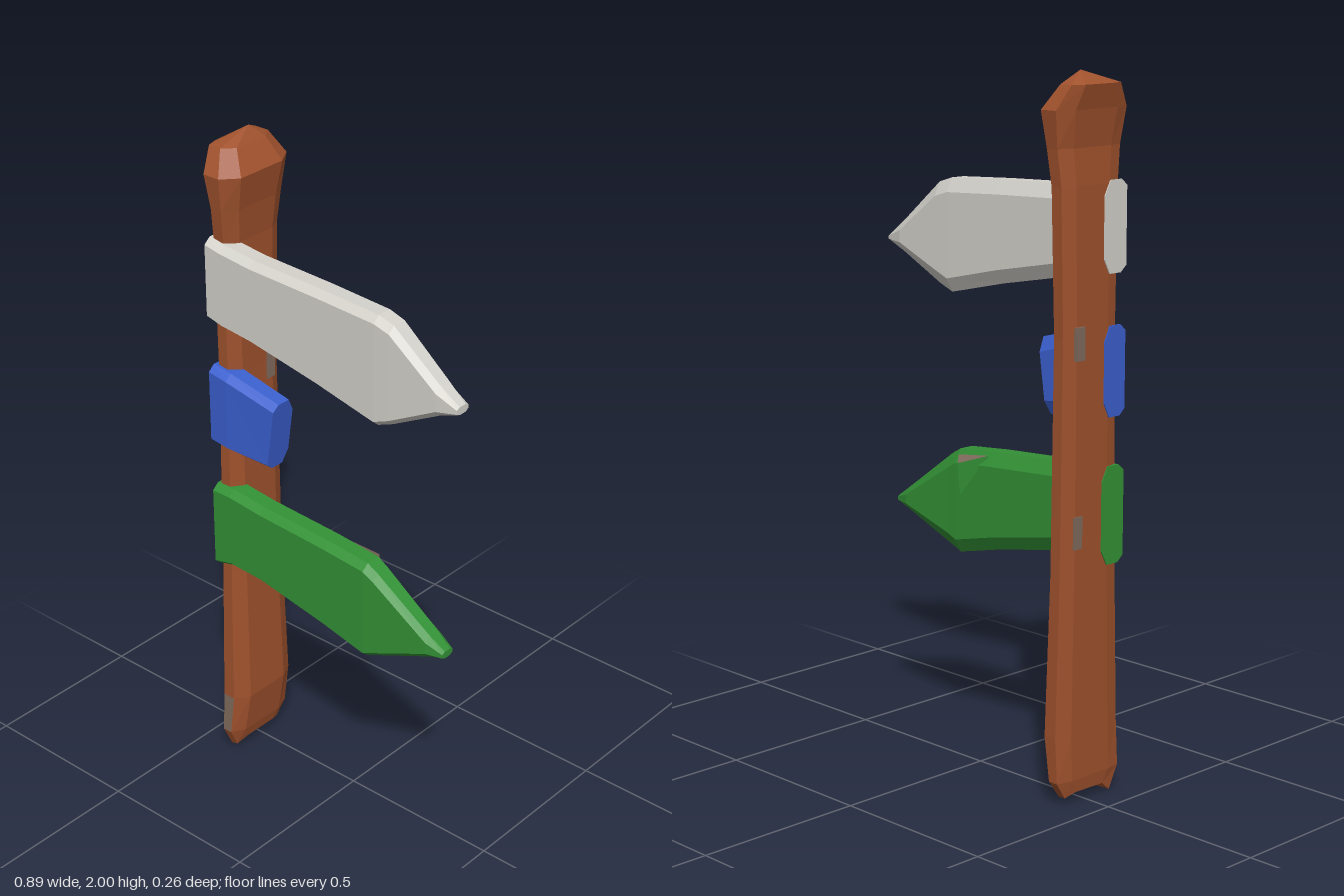
import * as THREE from 'three';

const material = (name, color) => {
  const m = new THREE.MeshStandardMaterial({ color, flatShading: true });
  m.name = name;
  return m;
};

// Skin a list of rings (each a loop of [x, y, z]) with facets and fan caps.
// pick(kind, ring, side) returns the material index of a facet.
function loft(name, rings, materials, pick = () => 0, ends = []) {
  const buckets = materials.map(() => []);
  const n = rings[0].length;
  const last = rings.length - 1;
  const tri = (slot, ...pts) => pts.forEach((p) => buckets[slot].push(...p));
  for (let i = 0; i < last; i++) {
    for (let j = 0; j < n; j++) {
      const k = (j + 1) % n;
      const [a, b, c, d] = [rings[i][j], rings[i][k], rings[i + 1][k], rings[i + 1][j]];
      const slot = pick('side', i, j);
      tri(slot, a, b, c);
      tri(slot, a, c, d);
    }
  }
  const middle = (ring) => [0, 1, 2].map((q) => ring.reduce((s, p) => s + p[q], 0) / n);
  const start = ends[0] || middle(rings[0]);
  const end = ends[1] || middle(rings[last]);
  for (let j = 0; j < n; j++) {
    const k = (j + 1) % n;
    tri(pick('start', 0, j), start, rings[0][k], rings[0][j]);
    tri(pick('end', last, j), end, rings[last][j], rings[last][k]);
  }
  const geometry = new THREE.BufferGeometry();
  let offset = 0;
  buckets.forEach((b, slot) => {
    geometry.addGroup(offset, b.length / 3, slot);
    offset += b.length / 3;
  });
  geometry.setAttribute('position', new THREE.Float32BufferAttribute(buckets.flat(), 3));
  geometry.computeVertexNormals();
  const mesh = new THREE.Mesh(geometry, materials);
  mesh.name = name;
  return mesh;
}

// Plank running along x; stations are [x, bottom, top, back z, front z, lean of the top]
function plank(name, stations, mat) {
  const rings = stations.map(([x, y0, y1, zb, zf, lean = 0]) => {
    const h = y1 - y0;
    const d = zf - zb;
    const f = Math.min(0.018, h * 0.25);
    const b = Math.min(0.04, h * 0.3);
    return [
      [zf, y1 - f], [zf, y0 + f], [zf - d * 0.25, y0], [zb + d * 0.25, y0],
      [zb, y0 + b], [zb, y1 - b], [zb + d * 0.25, y1], [zf - d * 0.25, y1],
    ].map(([z, y]) => [x + lean * (y - y0) / h, y, z]);
  });
  return loft(name, rings, [mat]);
}

export function createModel() {
  const group = new THREE.Group();
  group.name = 'signpost';
  const brown = material('brown wood', 0xa0522d);
  const white = material('white paint', 0xd3d1ca);
  const blue = material('blue paint', 0x3a5fcd);
  const green = material('green paint', 0x339136);
  const grey = material('weathered grey', 0x7f6a5c);

  // Post: [y, left x, right x, back z, front z]
  const section = [[0, 0.62], [0.12, 1], [0.62, 1], [1, 0.65], [1, -0.6], [0.7, -1], [0.2, -1], [0, -0.6]];
  const levels = [
    [0.02, -0.415, -0.37, -0.075, 0.1],
    [0.07, -0.42, -0.36, -0.108, 0.13],
    [0.2, -0.42, -0.34, -0.112, 0.125],
    [0.65, -0.42, -0.352, -0.102, 0.11],
    [1.3, -0.42, -0.354, -0.095, 0.1],
    [1.7, -0.42, -0.35, -0.105, 0.105],
    [1.8, -0.415, -0.34, -0.115, 0.118],
    [1.9, -0.43, -0.322, -0.13, 0.13],
    [1.965, -0.447, -0.365, -0.095, 0.085],
  ];
  const notch = [0.01, -0.018, -0.012, 0.012, 0.012, 0, 0, 0.012];
  const postRings = levels.map(([y, x0, x1, z0, z1], i) => section.map(([u, v], j) => [
    x0 + (x1 - x0) * u,
    y + (i === 0 ? notch[j] : 0),
    (z0 + z1) / 2 + v * (z1 - z0) / 2,
  ]));
  const worn = (kind, i, j) => (kind === 'side' && i === 1 && j === 1 ? 1 : 0);
  group.add(loft('post', postRings, [brown, grey], worn, [[-0.39, 0.045, 0.01], [-0.395, 2, -0.025]]));

  // Nails showing on both broad sides of the post
  for (const [y, left, right] of [[1.285, -0.428, -0.351], [0.77, -0.423, -0.35]]) {
    const nail = new THREE.Mesh(new THREE.BoxGeometry(right - left, 0.09, 0.032), grey);
    nail.position.set((left + right) / 2, y, -0.048);
    nail.name = 'nail';
    group.add(nail);
  }

  // Pointed white sign
  group.add(plank('upperSign', [
    [-0.423, 1.46, 1.71, 0.045, 0.13],
    [-0.37, 1.447, 1.7, 0.04, 0.13],
    [-0.26, 1.435, 1.688, 0.04, 0.13],
    [-0.02, 1.39, 1.68, 0.04, 0.13],
    [0.18, 1.345, 1.67, 0.042, 0.13],
    [0.23, 1.365, 1.655, 0.043, 0.128],
    [0.38, 1.442, 1.53, 0.045, 0.117],
    [0.443, 1.465, 1.488, 0.06, 0.108],
  ], white));

  // Short broken blue sign
  group.add(plank('middleSign', [
    [-0.423, 1.07, 1.32, 0.05, 0.13],
    [-0.36, 1.062, 1.31, 0.04, 0.13],
    [-0.222, 1.052, 1.265, 0.032, 0.115, 0.03],
  ], blue));

  // Pointed green sign
  group.add(plank('lowerSign', [
    [-0.423, 0.66, 0.935, 0.045, 0.13],
    [-0.36, 0.675, 0.935, 0.04, 0.13],
    [-0.24, 0.668, 0.922, 0.04, 0.13],
    [0, 0.622, 0.908, 0.038, 0.13],
    [0.145, 0.588, 0.895, 0.04, 0.13],
    [0.18, 0.602, 0.875, 0.042, 0.128],
    [0.36, 0.675, 0.745, 0.045, 0.115],
    [0.412, 0.69, 0.712, 0.06, 0.105],
  ], green));

  // Splinter on the back of the green sign, bare on top
  const splinter = [
    [[0.07, 0.76, 0.05], [0.13, 0.76, 0.05], [0.105, 0.77, 0.02]],
    [[0.02, 0.895, 0.05], [0.14, 0.88, 0.05], [0.108, 0.865, 0.015]],
  ];
  group.add(loft('splinter', splinter, [green, grey], (kind) => (kind === 'end' ? 1 : 0)));

  return group;
}
